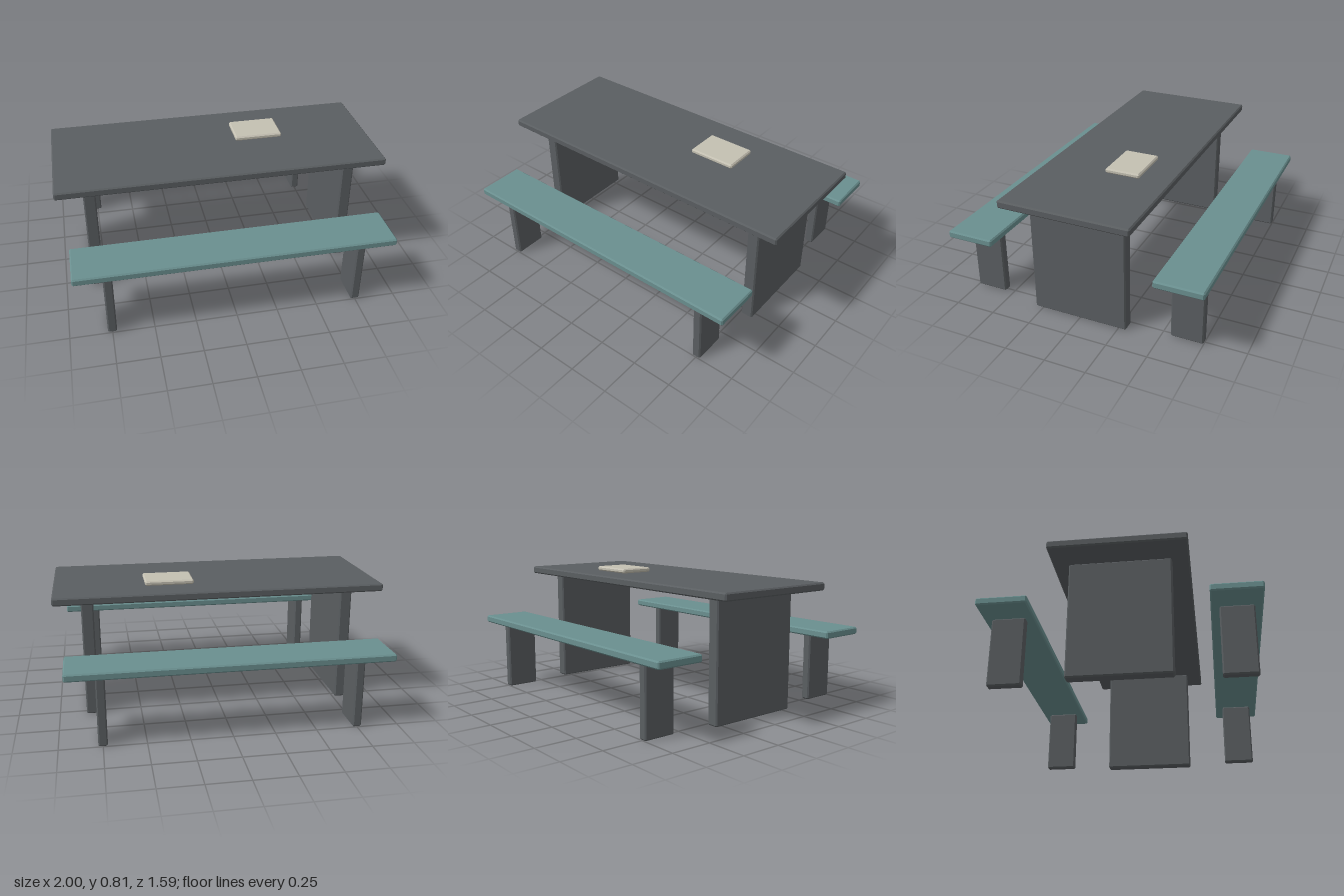
import * as THREE from 'three';
import { ConvexGeometry } from 'three/addons/geometries/ConvexGeometry.js';

const slate = new THREE.MeshStandardMaterial({ color: 0x5a5e61 });
const teal = new THREE.MeshStandardMaterial({ color: 0x6a8f8f });
const cream = new THREE.MeshStandardMaterial({ color: 0xc4c0b2 });

// Box with every edge and corner chamfered: three points per corner
function chamferBox(w, h, d, c = 0.008) {
  const points = [];
  for (const sx of [-1, 1]) for (const sy of [-1, 1]) for (const sz of [-1, 1]) {
    const x = w / 2, y = h / 2, z = d / 2;
    points.push(
      new THREE.Vector3(sx * x, sy * (y - c), sz * (z - c)),
      new THREE.Vector3(sx * (x - c), sy * y, sz * (z - c)),
      new THREE.Vector3(sx * (x - c), sy * (y - c), sz * z)
    );
  }
  return new ConvexGeometry(points);
}

// Block given by its lower and upper limits on each axis
function block(name, material, [x0, x1], [y0, y1], [z0, z1]) {
  const mesh = new THREE.Mesh(chamferBox(x1 - x0, y1 - y0, z1 - z0), material);
  mesh.position.set((x0 + x1) / 2, (y0 + y1) / 2, (z0 + z1) / 2);
  mesh.name = name;
  return mesh;
}

const span = (centre, half) => [centre - half, centre + half];

export function createModel() {
  const model = new THREE.Group();
  model.name = 'picnicTable';

  // Table: top resting just above two panel legs
  const table = new THREE.Group();
  table.name = 'table';
  table.add(block('tableTop', slate, [-1, 1], [0.73, 0.777], [-0.398, 0.398]));
  for (const side of [-1, 1]) {
    const name = side > 0 ? 'leftTableLeg' : 'rightTableLeg';
    table.add(block(name, slate, span(side * 0.8, 0.037), [0, 0.72], [-0.298, 0.298]));
  }
  model.add(table);

  // Benches: one in front, one behind
  for (const end of [-1, 1]) {
    const bench = new THREE.Group();
    bench.name = end > 0 ? 'frontBench' : 'backBench';
    bench.add(block('benchSeat', teal, [-0.947, 0.947], [0.42, 0.465], span(end * 0.65, 0.147)));
    for (const side of [-1, 1]) {
      const name = side > 0 ? 'leftBenchLeg' : 'rightBenchLeg';
      bench.add(block(name, slate, span(side * 0.75, 0.027), [0, 0.42], span(end * 0.65, 0.099)));
    }
    model.add(bench);
  }

  // Flat tray lying on the table
  model.add(block('tray', cream, [0.148, 0.446], [0.777, 0.806], [-0.209, 0.009]));
  return model;
}
